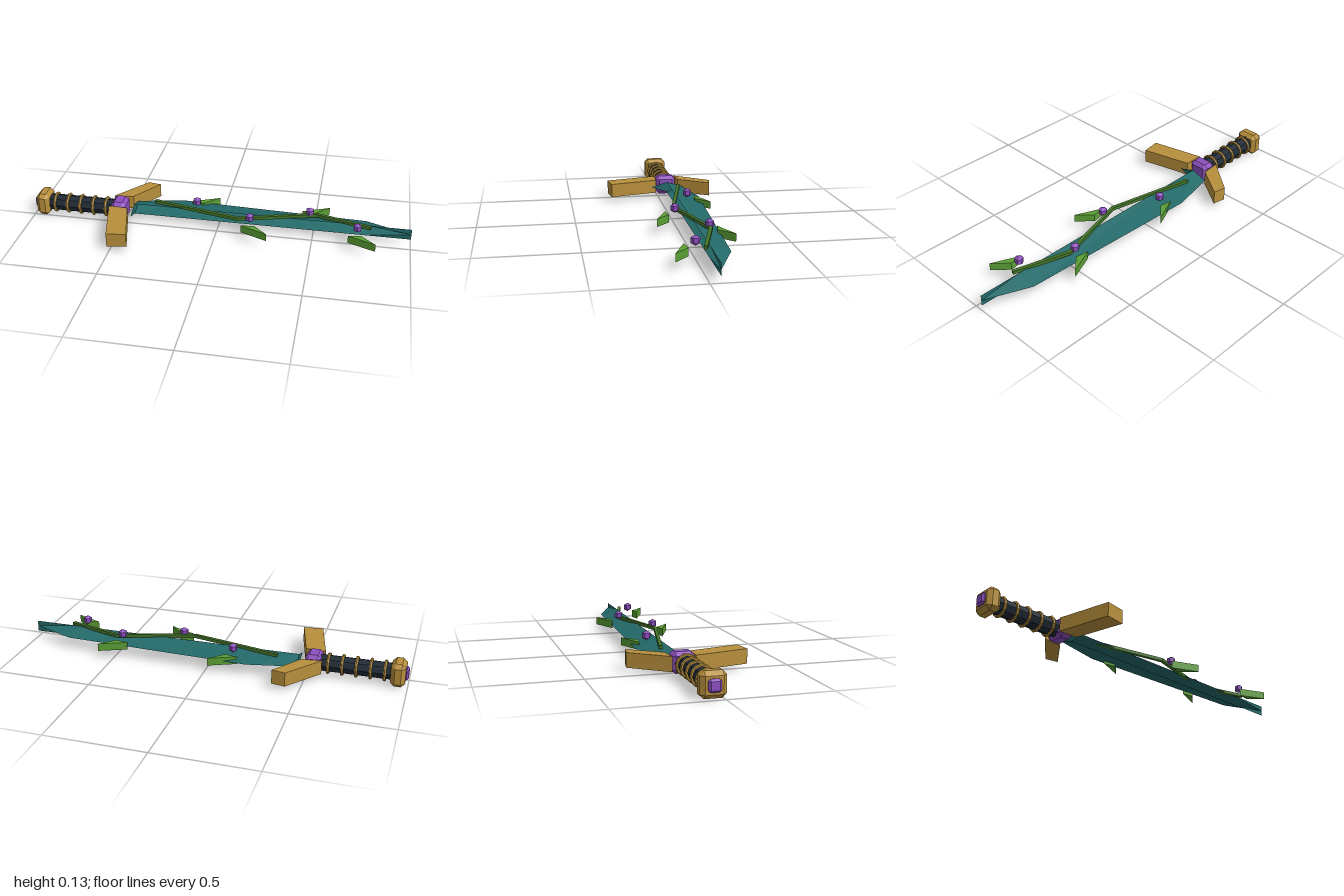
import * as THREE from 'three';
import { ConvexGeometry } from 'three/addons/geometries/ConvexGeometry.js';

const AY = 0.061, AZ = -0.047; // height and depth of the sword's long axis

const mat = (name, color, extra = {}) => {
  const m = new THREE.MeshStandardMaterial({ color, flatShading: true, ...extra });
  m.name = name;
  return m;
};

// Box with every edge cut at 45 degrees, given by half sizes and the cut
function chamferBox(hx, hy, hz, c) {
  const pts = [];
  for (const x of [-1, 1]) for (const y of [-1, 1]) for (const z of [-1, 1]) {
    pts.push(new THREE.Vector3(x * hx, y * (hy - c), z * (hz - c)));
    pts.push(new THREE.Vector3(x * (hx - c), y * hy, z * (hz - c)));
    pts.push(new THREE.Vector3(x * (hx - c), y * (hy - c), z * hz));
  }
  return new ConvexGeometry(pts);
}

// Flat plan outline of [x, z] points, raised from y0 to y1
function prism(plan, y0, y1) {
  const shape = new THREE.Shape(plan.map(([x, z]) => new THREE.Vector2(x, -z)));
  const g = new THREE.ExtrudeGeometry(shape, { depth: y1 - y0, bevelEnabled: false });
  return g.rotateX(-Math.PI / 2).translate(0, y0, 0);
}

// Half-diamond blade, open along the ridge plane, with a diamond base plate
function bladeGeometry() {
  const top = 0.09, bottom = 0.032, tip = [1, AY, AZ];
  const stations = [[-0.454, -0.134], [-0.21, -0.184], [0.77, -0.142]];
  const pos = [];
  const tri = (...p) => pos.push(...p.flat());
  for (const [ridge, flip] of [[top, false], [bottom, true]]) {
    const face = (a, b, c) => (flip ? tri(a, c, b) : tri(a, b, c));
    for (let i = 0; i < 2; i++) {
      const [x0, z0] = stations[i], [x1, z1] = stations[i + 1];
      const r0 = [x0, ridge, AZ], r1 = [x1, ridge, AZ];
      const e0 = [x0, AY, z0], e1 = [x1, AY, z1];
      face(r0, r1, e1);
      face(r0, e1, e0);
    }
    // Point of the blade and its upright tip fin
    const [x, z] = stations[2];
    face([x, ridge, AZ], tip, [x, AY, z]);
    face([x, ridge, AZ], [1, ridge, AZ], tip);
  }
  // Base plate
  const [bx, bz] = stations[0];
  for (const z of [bz, 2 * AZ - bz]) {
    const a = [bx, top, AZ], b = [bx, bottom, AZ], e = [bx, AY, z];
    z > AZ ? tri(a, e, b) : tri(a, b, e);
  }
  const g = new THREE.BufferGeometry();
  g.setAttribute('position', new THREE.Float32BufferAttribute(pos, 3));
  g.computeVertexNormals();
  return g;
}

export function createModel() {
  const root = new THREE.Group();
  root.name = 'vineSword';
  const gold = mat('gold', 0xb88f3c);
  const purple = mat('purple', 0x8d4fbf);
  const dark = mat('darkWrap', 0x1f2a35);
  const teal = mat('teal', 0x246a6a, { side: THREE.DoubleSide });
  const vineGreen = mat('vineGreen', 0x44752a);
  const leafGreen = mat('leafGreen', 0x5a9e34);

  const add = (name, geo, material, x = 0, y = 0, z = 0) => {
    const m = new THREE.Mesh(geo, material);
    m.name = name;
    m.position.set(x, y, z);
    root.add(m);
    return m;
  };

  // Pommel with its end gem
  add('pommel', chamferBox(0.036, 0.061, 0.061, 0.02), gold, -0.95, AY, AZ);
  add('pommelGem', chamferBox(0.022, 0.03, 0.03, 0.01), purple, -0.978, AY, AZ);

  // Grip and rings
  const grip = new THREE.CylinderGeometry(0.044, 0.044, 0.36, 8).rotateZ(Math.PI / 2);
  add('grip', grip, dark, -0.745, AY, AZ);
  const ring = new THREE.TorusGeometry(0.047, 0.008, 6, 12).rotateY(Math.PI / 2);
  for (let i = 0; i < 5; i++) add('gripRing', ring, gold, -0.885 + i * 0.07, AY, AZ);

  // Guard: central gem and two uneven wings
  add('guardGem', chamferBox(0.04, 0.052, 0.055, 0.018), purple, -0.532, AY, AZ);
  add('guardWingBack', prism([[-0.578, -0.105], [-0.476, -0.114], [-0.364, -0.275], [-0.433, -0.288]], 0.024, 0.097), gold);
  add('guardWingFront', prism([[-0.578, 0.008], [-0.513, 0.286], [-0.412, 0.272], [-0.476, 0.013]], 0.024, 0.097), gold);

  add('blade', bladeGeometry(), teal);

  // Vine zigzagging along the blade
  const path = [[-0.345, -0.094], [0.11, 0.008], [0.51, -0.104], [0.79, -0.024]];
  for (let i = 0; i < 3; i++) {
    const [x0, z0] = path[i], [x1, z1] = path[i + 1];
    const len = Math.hypot(x1 - x0, z1 - z0) + 0.01;
    const seg = add('vine', new THREE.BoxGeometry(len, 0.017, 0.017), vineGreen,
      (x0 + x1) / 2, 0.092, (z0 + z1) / 2);
    seg.rotation.y = -Math.atan2(z1 - z0, x1 - x0);
  }

  // Berries and leaves alternate between the back and front of the blade
  const berry = new THREE.SphereGeometry(0.025, 6, 3).rotateY(Math.PI / 2);
  [-0.123, 0.176, 0.476, 0.727].forEach((x, i) => {
    const s = i % 2 ? 1 : -1;
    add('berry', berry, purple, x, 0.107, AZ + s * 0.058);
    const lx = [-0.158, 0.137, 0.434, 0.683][i];
    const plan = [[lx, AZ + s * 0.103], [lx + 0.066, AZ + s * 0.092], [lx + 0.14, AZ + s * 0.164]];
    add('leaf', prism(plan, 0.041, 0.081), leafGreen);
  });

  return root;
}
